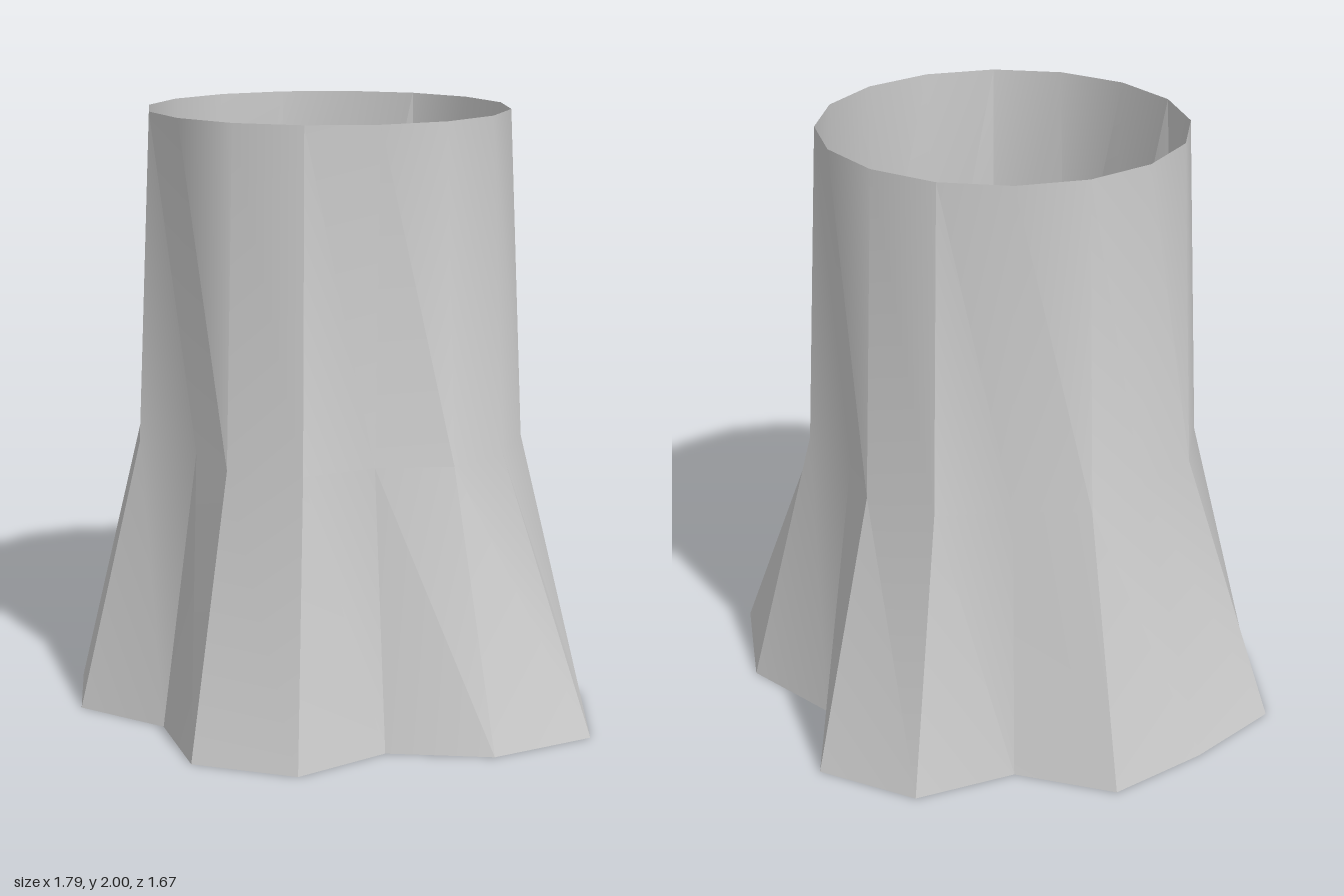
import * as THREE from 'three';
import { toCreasedNormals } from 'three/addons/utils/BufferGeometryUtils.js';

const SIDES = 16, CX = -0.02, CZ = -0.03;

// Flared root outline at the ground, as x, z pairs
const foot = [
  [0.85, -0.04], [0.89, 0.38], [0.59, 0.59], [0.24, 0.60],
  [-0.01, 0.83], [-0.36, 0.765], [-0.51, 0.45], [-0.82, 0.305],
  [-0.89, -0.03], [-0.90, -0.40], [-0.64, -0.64], [-0.345, -0.84],
  [-0.02, -0.72], [0.305, -0.84], [0.615, -0.67], [0.60, -0.30],
];

// Grooves between the roots pinch the middle ring
const grooves = { 3: 0.55, 6: 0.545, 10: 0.6, 12: 0.575, 15: 0.555 };

function ring(y, radiusAt) {
  return Array.from({ length: SIDES }, (_, i) => {
    const a = (i / SIDES) * Math.PI * 2, r = radiusAt(i);
    return [CX + Math.cos(a) * r, y, CZ + Math.sin(a) * r];
  });
}

// Skin stacked rings with outward-facing triangles
function loft(rings) {
  const p = [];
  for (let k = 0; k < rings.length - 1; k++) {
    const lo = rings[k], hi = rings[k + 1];
    for (let i = 0; i < SIDES; i++) {
      const j = (i + 1) % SIDES;
      p.push(...lo[i], ...hi[i], ...hi[j], ...lo[i], ...hi[j], ...lo[j]);
    }
  }
  const g = new THREE.BufferGeometry();
  g.setAttribute('position', new THREE.Float32BufferAttribute(p, 3));
  return toCreasedNormals(g, 0.5);
}

export function createModel() {
  const model = new THREE.Group();
  model.name = 'hollowTrunk';
  const grey = new THREE.MeshStandardMaterial({ color: 0xcccccc, side: THREE.DoubleSide });
  grey.name = 'light grey';

  // Open-topped trunk wall
  const wall = new THREE.Mesh(loft([
    foot.map(([x, z]) => [x, 0, z]),
    ring(0.91, (i) => grooves[i] ?? 0.65),
    ring(2, () => 0.6),
  ]), grey);
  wall.name = 'trunkWall';

  // Flat base closing the bottom
  const outline = new THREE.Shape(foot.map(([x, z]) => new THREE.Vector2(x, z)));
  const base = new THREE.Mesh(new THREE.ShapeGeometry(outline).rotateX(Math.PI / 2), grey);
  base.name = 'trunkBase';

  model.add(wall, base);
  return model;
}
